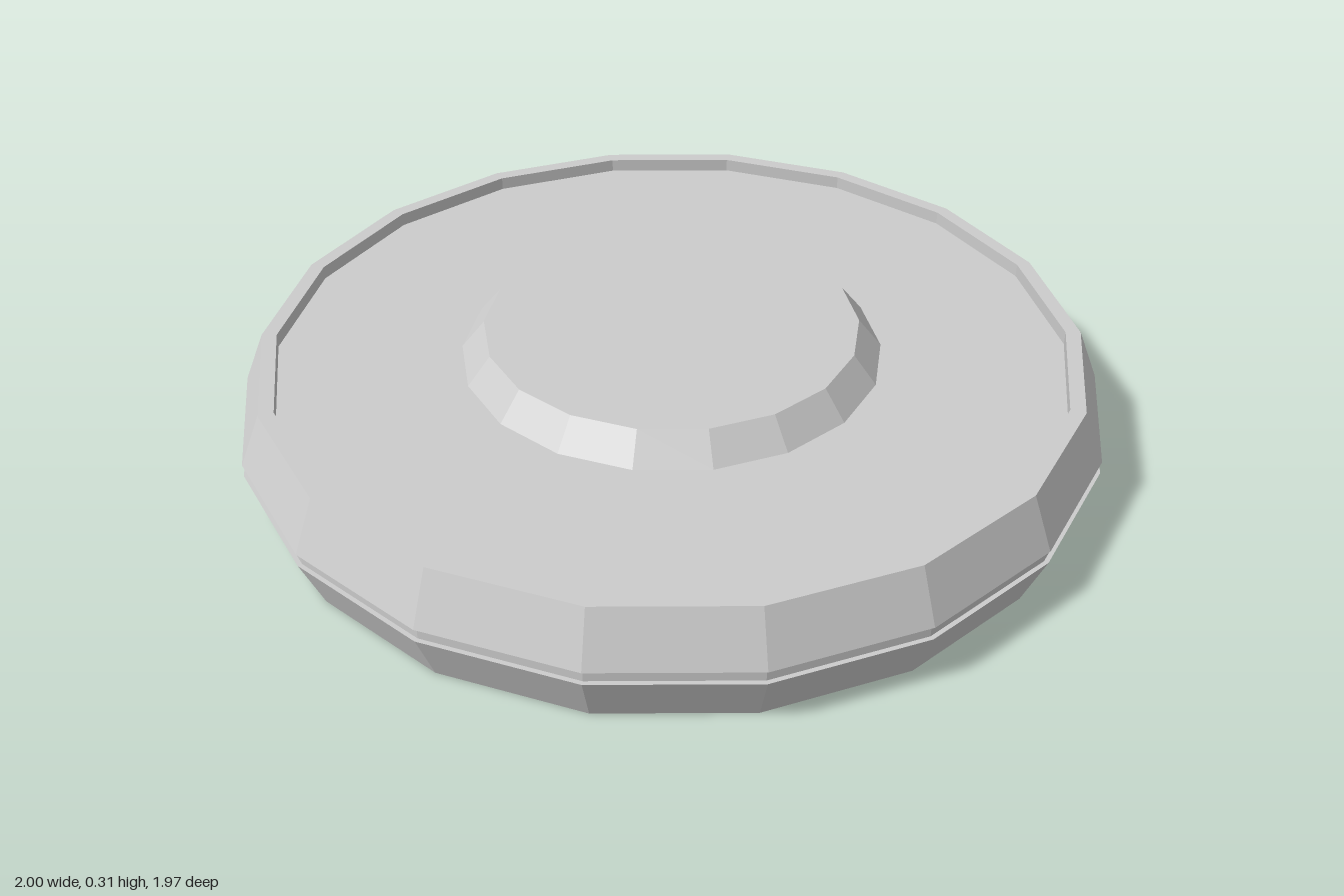
import * as THREE from 'three';

const SIDES = 18;

// Faceted solid of revolution; profile runs from bottom to top as [radius, y]
function turned(name, profile) {
  const points = profile.map(([r, y]) => new THREE.Vector2(r, y));
  const geometry = new THREE.LatheGeometry(points, SIDES, Math.PI / 2);
  const material = new THREE.MeshStandardMaterial({ color: 0xcccccc, flatShading: true });
  const mesh = new THREE.Mesh(geometry, material);
  mesh.name = name;
  return mesh;
}

export function createModel() {
  const model = new THREE.Group();
  model.name = 'roundDisc';

  // Lower half: flat underside, flaring out to the seam
  model.add(turned('lowerShell', [[0, 0], [0.95, 0], [1, 0.125], [0.99, 0.125]]));

  // Narrow recessed band between the halves
  model.add(turned('seamBand', [[0.99, 0.125], [0.99, 0.155]]));

  // Upper half: tapers in to a thin rim around a sunken floor
  model.add(turned('upperShell', [
    [0.99, 0.155], [1, 0.155], [0.95, 0.275], [0.915, 0.275], [0.915, 0.243], [0.487, 0.243],
  ]));

  // Raised centre button with a bevelled edge
  model.add(turned('centreButton', [[0.487, 0.243], [0.433, 0.31], [0, 0.31]]));

  return model;
}
